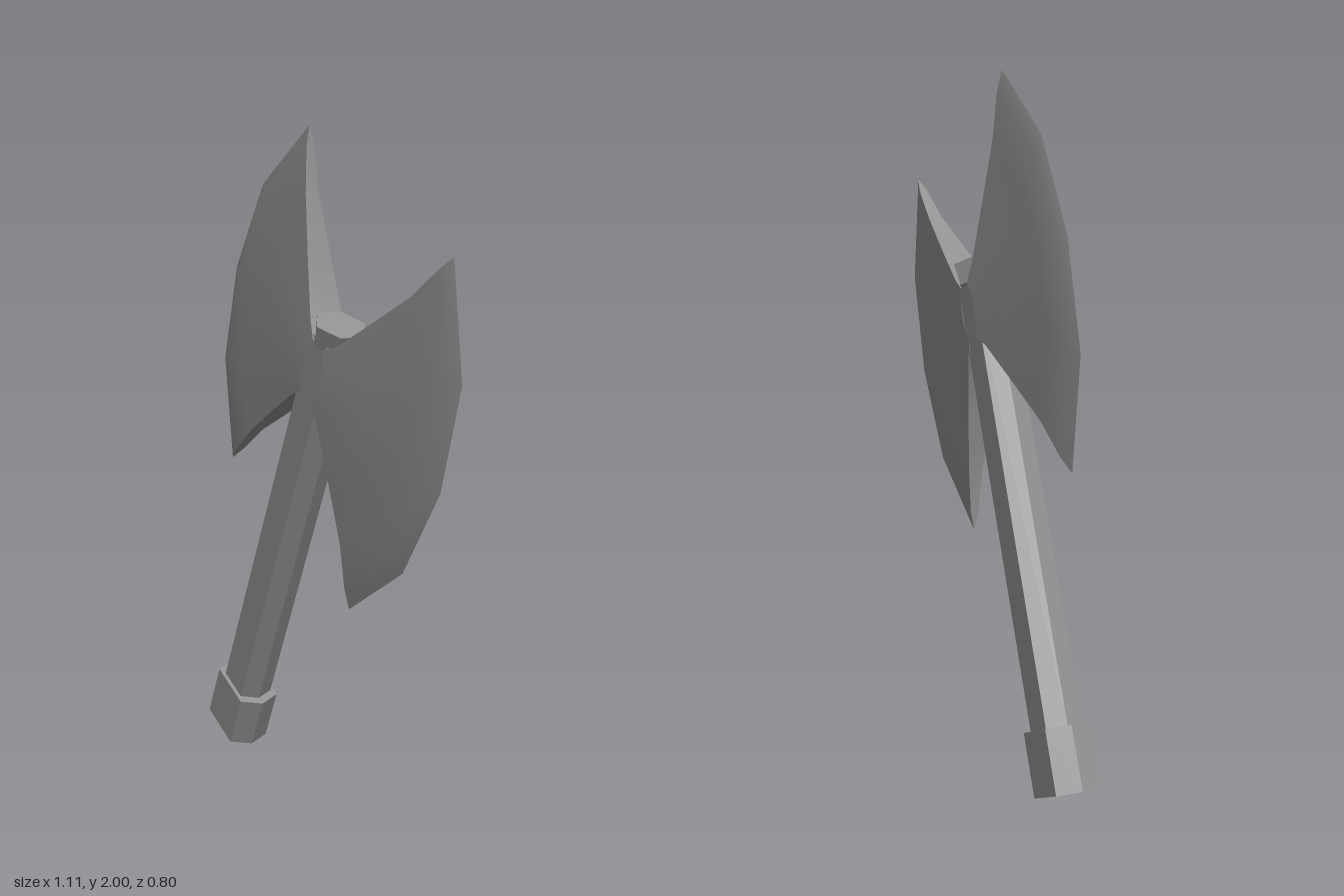
import * as THREE from 'three';
import { toCreasedNormals } from 'three/addons/utils/BufferGeometryUtils.js';

const material = new THREE.MeshStandardMaterial({ color: 0x909090 });

function addMesh(parent, name, geometry) {
  const mesh = new THREE.Mesh(toCreasedNormals(geometry, 0.5), material);
  mesh.name = name;
  parent.add(mesh);
  return mesh;
}

// Upright six-sided prism with broad flat sides facing +z and -z
function prism(tipX, sideX, sideZ, y0, y1) {
  const corners = [[tipX, 0], [sideX, sideZ], [-sideX, sideZ], [-tipX, 0], [-sideX, -sideZ], [sideX, -sideZ]];
  const shape = new THREE.Shape(corners.map(([x, y]) => new THREE.Vector2(x, y)));
  const geometry = new THREE.ExtrudeGeometry(shape, { depth: y1 - y0, bevelEnabled: false });
  return geometry.rotateX(-Math.PI / 2).translate(0, y0, 0);
}

// Blade as curved rows from the root to the cutting edge
function bladeGeometry() {
  const bulge = [0, 0.79, 1, 0.79, 0];
  const spread = [-1, -0.53, 0, 0.53, 1];
  // x at the row ends, x at the row middle, half height, half thickness
  const rows = [
    [0.03, 0.05, 0.085, 0.06],
    [0.075, 0.12, 0.125, 0.054],
    [0.175, 0.27, 0.252, 0.04],
    [0.295, 0.46, 0.41, 0.022],
    [0.36, 0.575, 0.525, 0.013],
    [0.39, 0.612, 0.578, 0],
  ];
  const n = spread.length;
  const positions = [];
  const index = [];
  for (const side of [1, -1]) {
    for (const [endX, midX, height, thick] of rows) {
      spread.forEach((v, k) => {
        positions.push(endX + (midX - endX) * bulge[k], 1.392 + v * height, side * thick);
      });
    }
  }
  const back = rows.length * n;
  const quad = (a, b, c, d) => index.push(a, b, c, a, c, d);
  for (let i = 0; i < rows.length - 1; i++) {
    for (let k = 0; k < n - 1; k++) {
      const a = i * n + k, b = a + n;
      quad(a, b, b + 1, a + 1);
      quad(back + a, back + a + 1, back + b + 1, back + b);
    }
    // Flat rims along the lower and upper inner curves
    const low = i * n, high = low + n - 1;
    quad(low, back + low, back + low + n, low + n);
    quad(high, high + n, back + high + n, back + high);
  }
  const geometry = new THREE.BufferGeometry();
  geometry.setAttribute('position', new THREE.Float32BufferAttribute(positions, 3));
  // Drop the empty triangles where the rims close at the tips
  const corner = (i) => new THREE.Vector3().fromArray(positions, 3 * i);
  const kept = [];
  for (let i = 0; i < index.length; i += 3) {
    const tri = index.slice(i, i + 3);
    if (new THREE.Triangle(...tri.map(corner)).getArea() > 1e-7) kept.push(...tri);
  }
  geometry.setIndex(kept);
  return geometry;
}

export function createModel() {
  const model = new THREE.Group();
  model.name = 'doubleAxe';

  // The axe is built upright, then leaned and turned
  const axe = new THREE.Group();
  axe.name = 'axe';
  axe.rotation.set(0, THREE.MathUtils.degToRad(-35), THREE.MathUtils.degToRad(-25));
  axe.position.set(-0.457, 0.048, -0.302);
  model.add(axe);

  addMesh(axe, 'pommel', prism(0.108, 0.08, 0.067, 0, 0.18));
  addMesh(axe, 'handle', prism(0.08, 0.057, 0.055, 0.15, 1.49));
  addMesh(axe, 'handleCap', new THREE.CylinderGeometry(0.08, 0.07, 0.065, 6).translate(0, 1.508, 0));

  // Two matching blades on opposite sides
  addMesh(axe, 'leftBlade', bladeGeometry());
  addMesh(axe, 'rightBlade', bladeGeometry()).rotation.y = Math.PI;

  return model;
}
